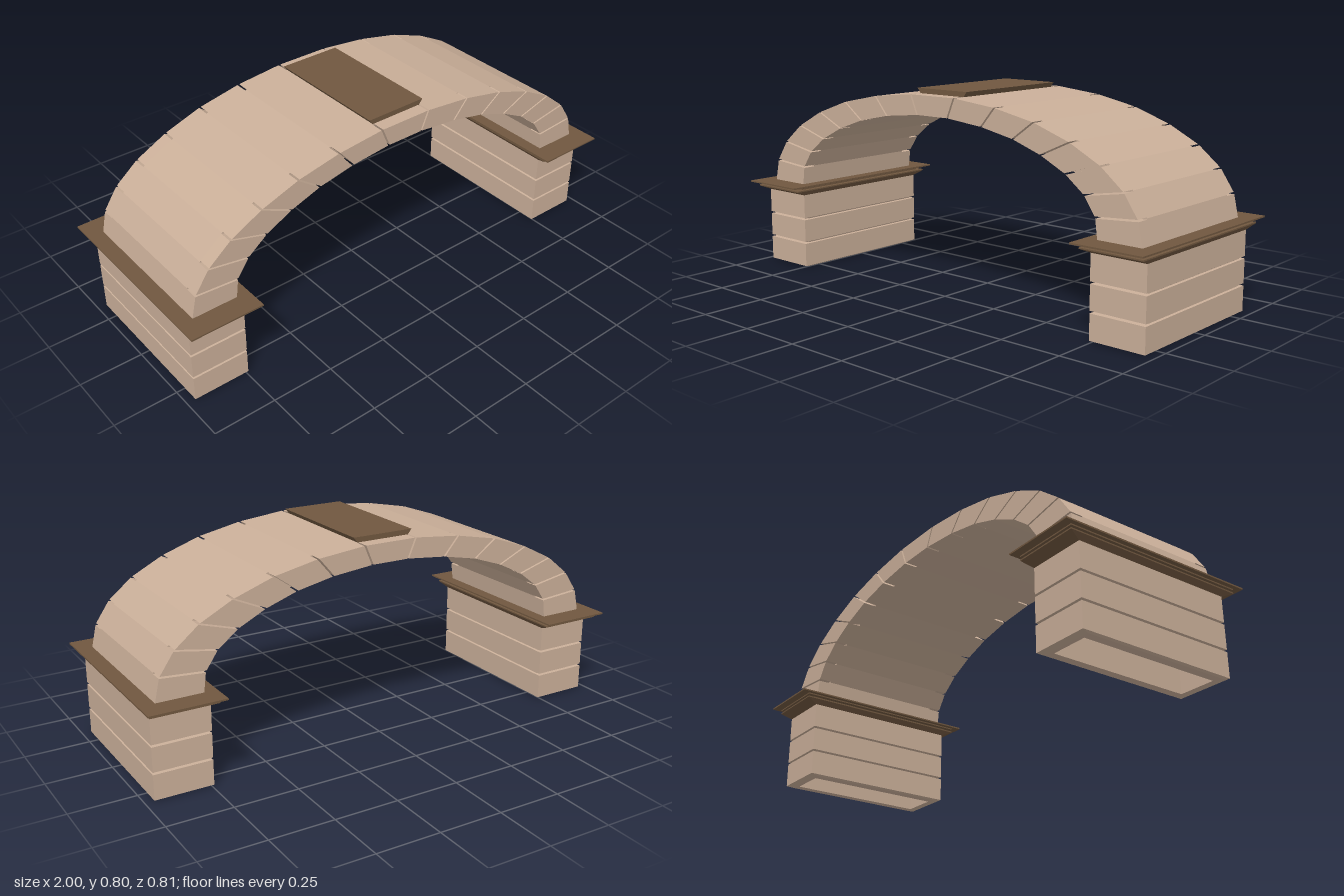
import * as THREE from 'three';

const stone = new THREE.MeshStandardMaterial({ color: 0xc9ae98, flatShading: true });
const brown = new THREE.MeshStandardMaterial({ color: 0x70573f, flatShading: true });

// Closed loft through rectangular sections [halfX, halfZ, y], in order
function rectLoft(rows) {
  const corners = [[1, 1], [1, -1], [-1, -1], [-1, 1]];
  const loops = rows.map(([hx, hz, y]) => corners.map(([sx, sz]) => [sx * hx, y, sz * hz]));
  const pos = [];
  const quad = (a, b, c, d) => pos.push(...a, ...b, ...c, ...a, ...c, ...d);
  for (let i = 0; i + 1 < loops.length; i++) {
    for (let j = 0; j < 4; j++) {
      const k = (j + 1) % 4;
      quad(loops[i][j], loops[i][k], loops[i + 1][k], loops[i + 1][j]);
    }
  }
  quad(...[...loops[0]].reverse());
  quad(...loops[loops.length - 1]);
  const g = new THREE.BufferGeometry();
  g.setAttribute('position', new THREE.Float32BufferAttribute(pos, 3));
  g.computeVertexNormals();
  return g;
}

// Outline in the xy plane extruded from z0 to z1
function slab(points, z0, z1) {
  const g = new THREE.ExtrudeGeometry(new THREE.Shape(points), { depth: z1 - z0, bevelEnabled: false });
  return g.translate(0, 0, z0);
}

function add(parent, name, geometry, material) {
  const mesh = new THREE.Mesh(geometry, material);
  mesh.name = name;
  parent.add(mesh);
  return mesh;
}

const HX = 0.1125, HZ = 0.325;
const scaled = (s, y) => [HX * s, HZ * s, y];

// Hollow pier of three courses with chamfered grooves
function pierGeometry() {
  const rows = [[HX - 0.04, HZ - 0.04, 0.31], [HX - 0.04, HZ - 0.04, 0]];
  for (const [y0, y1] of [[0, 0.102], [0.106, 0.205], [0.209, 0.314]]) {
    rows.push(scaled(0.92, y0), scaled(1, y0 + 0.005), scaled(1, y1));
    if (y1 < 0.3) rows.push(scaled(0.92, y1 + 0.002));
  }
  return rectLoft(rows);
}

// Moulded capital under a thin wide plate
function capitalGeometry() {
  return rectLoft([
    scaled(1, 0.313), scaled(1.14, 0.332), scaled(1.14, 0.337), scaled(1.04, 0.339),
    scaled(1.04, 0.343), scaled(1.14, 0.346), scaled(1.14, 0.351),
    [0.145, 0.403, 0.351], [0.145, 0.403, 0.357],
  ]);
}

export function createModel() {
  const model = new THREE.Group();
  model.name = 'stoneArch';

  for (const [side, s] of [['left', 1], ['right', -1]]) {
    const support = new THREE.Group();
    support.name = side + 'Support';
    support.position.x = s * 0.855;
    add(support, side + 'Pier', pierGeometry(), stone);
    add(support, side + 'Capital', capitalGeometry(), brown);
    model.add(support);
  }

  // Joint lines of the arch, from springing to crown, then mirrored
  const V = (x, y) => new THREE.Vector2(x, y);
  const half = [
    [V(0.94, 0.355), V(0.76, 0.355)],
    [V(0.92, 0.445), V(0.75, 0.432)],
    [V(0.862, 0.53), V(0.702, 0.502)],
    [V(0.767, 0.607), V(0.622, 0.564)],
    [V(0.638, 0.673), V(0.515, 0.617)],
    [V(0.482, 0.727), V(0.39, 0.66)],
    [V(0.305, 0.763), V(0.243, 0.69)],
    [V(0.11, 0.783), V(0.078, 0.707)],
  ];
  const joints = [...half, ...[...half].reverse().map((j) => j.map((p) => V(-p.x, p.y)))];

  // Continuous vault between the two faces
  const outline = [...joints.map((j) => j[0]), ...[...joints].reverse().map((j) => j[1])];
  add(model, 'vaultCore', slab(outline, -0.26, 0.26), stone);

  // Separate wedge stones on both faces, with narrow open joints
  const inset = (a, b, gap) => a.clone().add(b.clone().sub(a).setLength(gap));
  const last = joints.length - 2;
  for (let i = 0; i <= last; i++) {
    const [ao, ai] = joints[i], [bo, bi] = joints[i + 1];
    const ga = i === 0 ? 0 : 0.004, gb = i === last ? 0 : 0.004;
    const pts = [inset(ao, bo, ga), inset(bo, ao, gb), inset(bi, ai, gb), inset(ai, bi, ga)];
    add(model, 'frontWedgeStone' + (i + 1), slab(pts, 0.26, 0.313), stone);
    add(model, 'backWedgeStone' + (i + 1), slab(pts, -0.313, -0.26), stone);
  }

  // Flared slab on the crown
  add(model, 'crownSlab',
    slab([V(-0.11, 0.782), V(0.11, 0.782), V(0.126, 0.803), V(-0.126, 0.803)], -0.26, 0.26), brown);

  return model;
}
